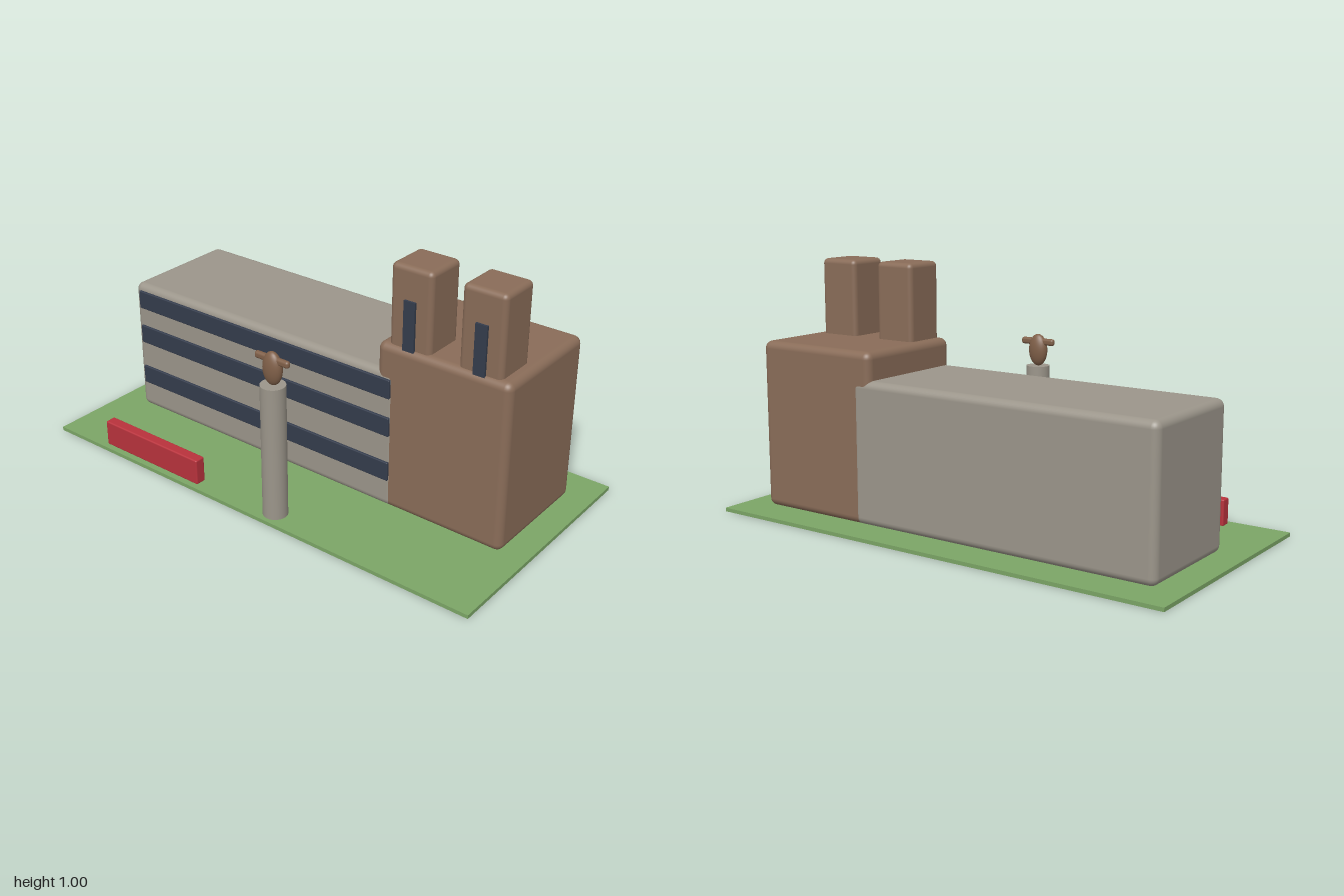
import * as THREE from 'three';
import { RoundedBoxGeometry } from 'three/addons/geometries/RoundedBoxGeometry.js';

function material(name, color) {
  const m = new THREE.MeshStandardMaterial({ color });
  m.name = name;
  return m;
}

export function createModel() {
  const model = new THREE.Group();
  const grass = material('grass green', 0x7ba566);
  const concrete = material('concrete grey', 0x9b958a);
  const brick = material('brick brown', 0x896c58);
  const glass = material('dark glass', 0x343c4c);
  const red = material('sign red', 0xb8323c);
  const bronze = material('bronze', 0x7f5f48);

  function add(name, geometry, mat, x = 0, y = 0, z = 0) {
    const mesh = new THREE.Mesh(geometry, mat);
    mesh.name = name;
    mesh.position.set(x, y, z);
    model.add(mesh);
    return mesh;
  }

  // Box given by its extents, rounded when a radius is set
  function box(name, mat, [x0, x1], [y0, y1], [z0, z1], radius = 0) {
    const size = [x1 - x0, y1 - y0, z1 - z0];
    const geometry = radius
      ? new RoundedBoxGeometry(...size, 4, radius)
      : new THREE.BoxGeometry(...size);
    return add(name, geometry, mat, (x0 + x1) / 2, (y0 + y1) / 2, (z0 + z1) / 2);
  }

  // Lawn
  box('lawn', grass, [-1, 1], [0, 0.015], [-0.5, 0.5]);

  // Long wing, a hair proud of the end block where they overlap
  box('longWing', concrete, [-0.89, 0.433], [0.012, 0.58], [-0.361, 0.141], 0.03);
  for (const [y0, y1] of [[0.13, 0.208], [0.319, 0.397], [0.476, 0.553]]) {
    box('windowBand', glass, [-0.86, 0.41], [y0, y1], [0.13, 0.15], 0.004);
  }

  // End block with two towers
  box('endBlock', brick, [0.345, 0.9], [0.012, 0.69], [-0.36, 0.14], 0.03);
  for (const x of [0.473, 0.765]) {
    box('tower', brick, [x - 0.088, x + 0.088], [0.65, 1], [-0.054, 0.122], 0.02);
    box('towerWindow', glass, [x - 0.024, x + 0.024], [0.68, 0.875], [0.115, 0.131]);
  }

  // Entrance sign
  box('sign', red, [-0.755, -0.255], [0.012, 0.119], [0.43, 0.475], 0.006);

  // Column carrying a bronze bird
  const cx = 0.108, cz = 0.435;
  add('column', new THREE.CylinderGeometry(0.048, 0.048, 0.545, 32), concrete, cx, 0.2865, cz);
  const body = add('birdBody', new THREE.SphereGeometry(1, 32, 20), bronze, cx, 0.624, cz);
  body.scale.set(0.042, 0.066, 0.027);
  box('birdWings', bronze, [cx - 0.078, cx + 0.078], [0.645, 0.673], [cz - 0.011, cz + 0.011], 0.0105);

  return model;
}
